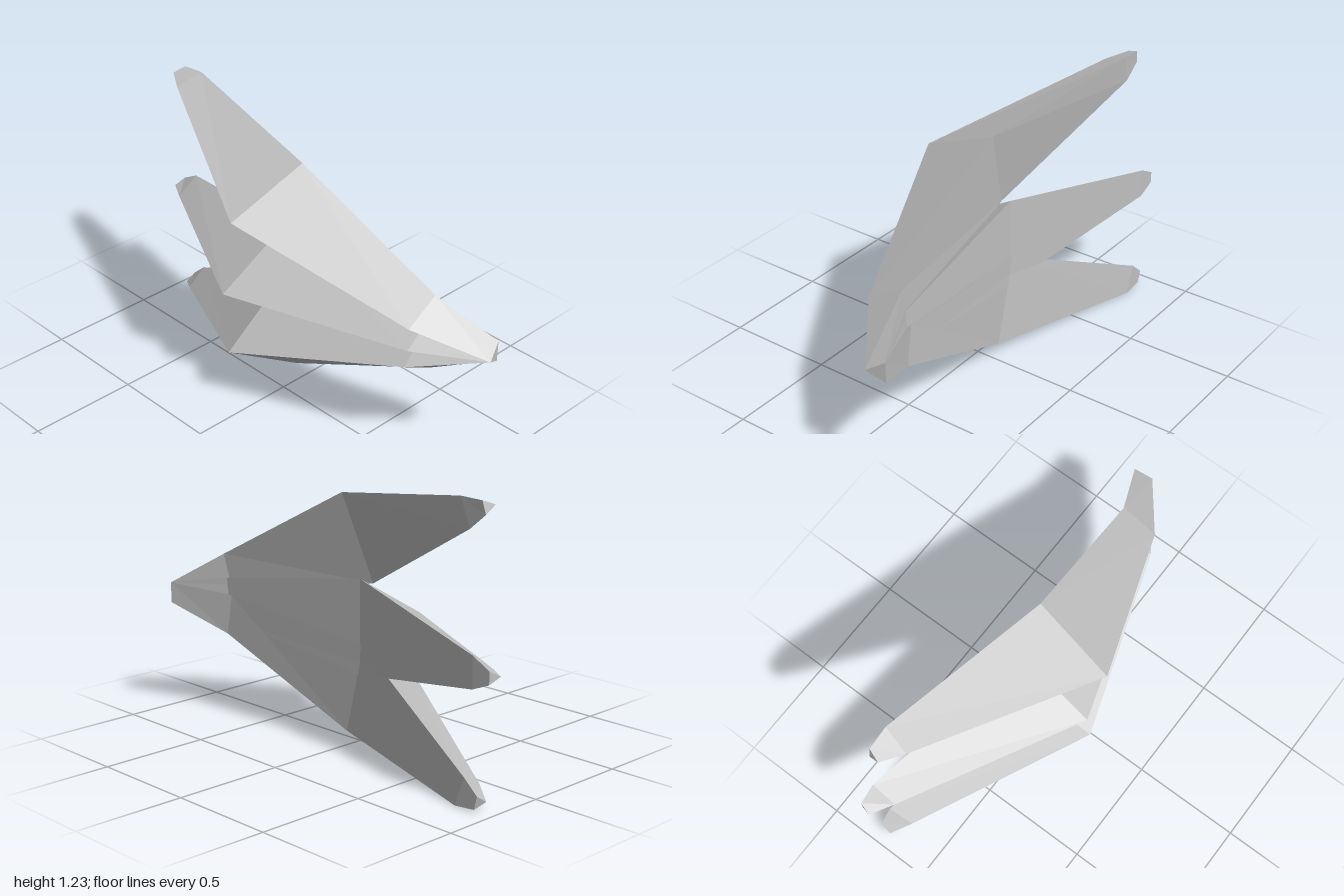
import * as THREE from 'three';

// Loft a closed blade through triangular sections [ridge, upper edge, lower edge], base to tip
function bladeGeometry(sections) {
  const pos = [];
  const tri = (a, b, c) => pos.push(...a, ...b, ...c);
  for (let s = 0; s < sections.length - 1; s++) {
    const a = sections[s], b = sections[s + 1];
    for (let i = 0; i < 3; i++) {
      const j = (i + 1) % 3;
      tri(a[i], a[j], b[j]);
      tri(a[i], b[j], b[i]);
    }
  }
  const [r, u, l] = sections[0];
  tri(r, l, u);
  tri(...sections[sections.length - 1]);
  const geo = new THREE.BufferGeometry();
  geo.setAttribute('position', new THREE.Float32BufferAttribute(pos, 3));
  geo.computeVertexNormals();
  return geo;
}

export function createModel() {
  const group = new THREE.Group();
  group.name = 'threeBladeClaw';
  const grey = new THREE.MeshStandardMaterial({ color: 0xc0c0c0, flatShading: true });
  grey.name = 'light grey';

  // All blades grow from one small triangular root
  const root = [[0.2, 0.55, 1.0], [0.28, 0.6, 0.97], [0.28, 0.505, 0.97]];

  // Sections: shoulder, widest fold, tip shoulder, blunt end
  const blades = {
    upperBlade: [
      [[0.0, 0.67, 0.73], [0.165, 0.757, 0.72], [0.155, 0.57, 0.67]],
      [[-0.28, 0.96, -0.02], [0.09, 1.12, 0.02], [0.04, 0.74, -0.12]],
      [[0.11, 1.18, -0.81], [0.23, 1.225, -0.78], [0.22, 1.1, -0.82]],
      [[0.17, 1.2, -0.905], [0.225, 1.22, -0.885], [0.22, 1.165, -0.9]],
    ],
    middleBlade: [
      [[0.01, 0.555, 0.72], [0.165, 0.65, 0.7], [0.165, 0.46, 0.7]],
      [[-0.255, 0.56, -0.11], [0.1, 0.767, -0.1], [0.1, 0.344, -0.1]],
      [[0.17, 0.56, -0.9], [0.28, 0.63, -0.9], [0.28, 0.495, -0.9]],
      [[0.23, 0.557, -1.0], [0.28, 0.585, -0.985], [0.28, 0.53, -0.985]],
    ],
    lowerBlade: [
      [[0.0, 0.48, 0.72], [0.165, 0.57, 0.67], [0.168, 0.385, 0.7]],
      [[-0.255, 0.272, -0.08], [0.1, 0.478, -0.12], [0.1, 0.073, -0.02]],
      [[0.17, 0.07, -0.85], [0.28, 0.13, -0.865], [0.28, 0.0, -0.82]],
      [[0.23, 0.035, -0.94], [0.28, 0.068, -0.935], [0.28, 0.01, -0.92]],
    ],
  };

  for (const [name, sections] of Object.entries(blades)) {
    const mesh = new THREE.Mesh(bladeGeometry([root, ...sections]), grey);
    mesh.name = name;
    group.add(mesh);
  }
  return group;
}
